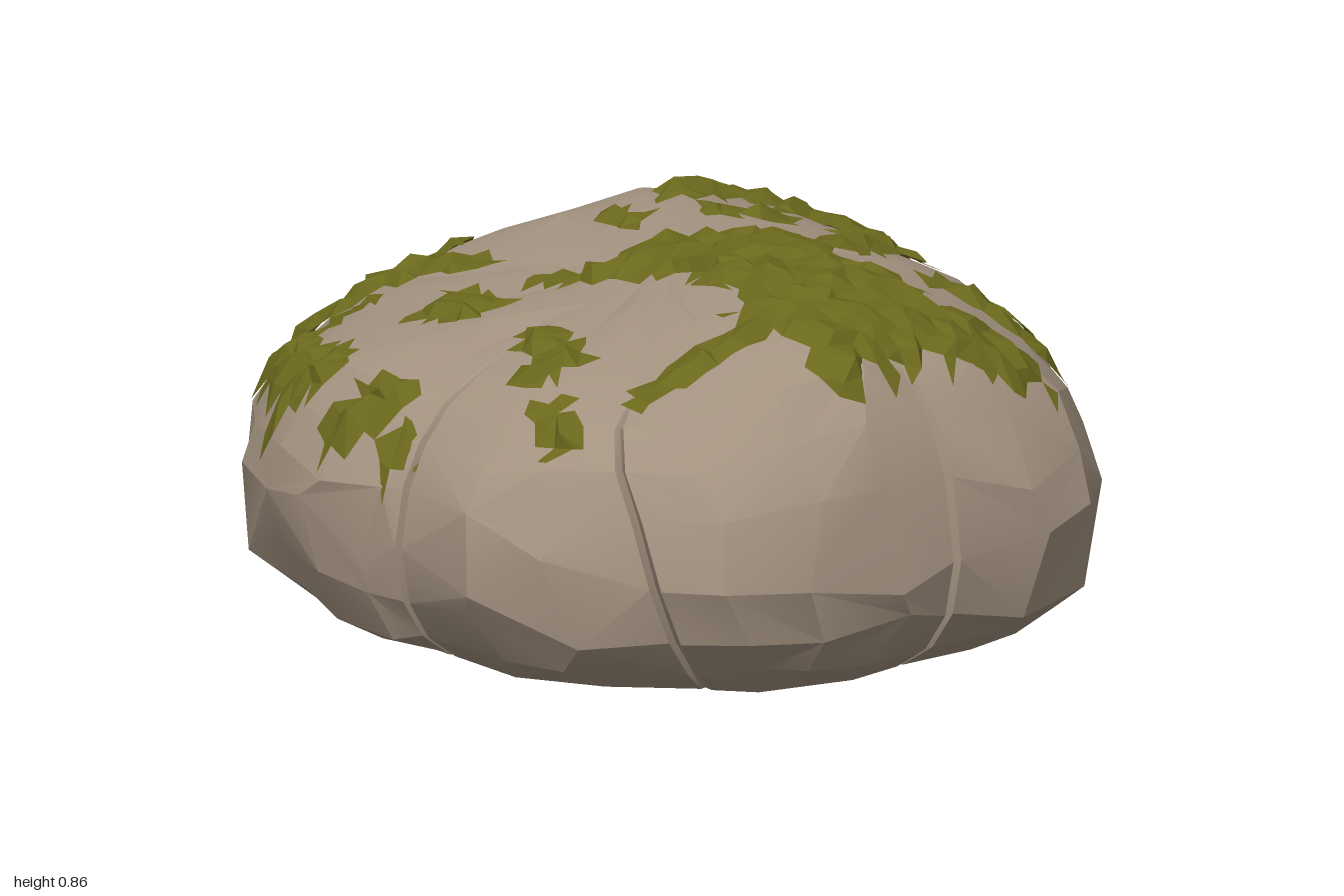
import * as THREE from 'three';
import { toCreasedNormals } from 'three/addons/utils/BufferGeometryUtils.js';

function seeded(seed) {
  return () => {
    seed = (seed * 1664525 + 1013904223) >>> 0;
    return seed / 4294967296;
  };
}

// Widest outline of the boulder, seen from above: [x, z]
const OUTLINE = [
  [.93, .03], [.89, .28], [.82, .6], [.69, .78], [.5, .85], [.37, .87], [.32, .91], [.15, .98], [0, 1],
  [-.2, .98], [-.35, .9], [-.39, .83], [-.5, .8], [-.65, .69], [-.73, .55], [-.77, .36], [-.87, .18],
  [-.925, 0], [-.925, -.18], [-.9, -.35], [-.8, -.57], [-.7, -.7], [-.64, -.71], [-.6, -.82], [-.4, -.95],
  [-.2, -1], [.05, -.98], [.23, -.9], [.4, -.88], [.55, -.81], [.72, -.69], [.77, -.5], [.86, -.2],
];
// Vertical clefts between the lobes: [x, z, slant]
const CLEFTS = [
  [.365, .87, 0], [-.34, .86, .14], [-.77, .36, 0], [-.65, -.71, 0], [.22, -.9, 0], [.76, -.5, -.1],
].map(([x, z, slant]) => ({ angle: Math.atan2(z, x), slant }));

// Distance from the centre to the outline in a given direction
function outlineRadius(angle) {
  const dx = Math.cos(angle), dz = Math.sin(angle);
  for (let i = 0; i < OUTLINE.length; i++) {
    const [ax, az] = OUTLINE[i], [bx, bz] = OUTLINE[(i + 1) % OUTLINE.length];
    const ca = dx * az - dz * ax, cb = dx * bz - dz * bx;
    if (ca <= 0 && cb > 0) {
      const t = ca / (ca - cb), x = ax + (bx - ax) * t, z = az + (bz - az) * t;
      if (x * dx + z * dz > 0) return Math.hypot(x, z);
    }
  }
  return .9;
}

function lerpTable(table, v) {
  for (let i = 1; i < table.length; i++) {
    const [a, p] = table[i - 1], [b, q] = table[i];
    if (v <= b) return p + (q - p) * Math.max(0, (v - a) / (b - a));
  }
  return table[table.length - 1][1];
}

// Height of the crown before it rounds off towards the rim
const crownX = [[-1, .73], [-.5, .71], [-.25, .72], [0, .8], [.15, .84], [.4, .815], [.7, .77], [1, .77]];
const crownZ = [[-1, .82], [-.85, .83], [-.7, 1], [-.6, 1.03], [-.45, 1], [-.3, .98], [.3, 1], [.6, 1.01],
  [.8, 1.07], [1, 1.12]];
const crown = (x, z) => lerpTable(crownX, x) * lerpTable(crownZ, z);

// Rings from the base to the crown: share of radius, height (null: from the crown), cleft depth and slant
const RINGS = [
  [.8, 0, .5, -1], [.9, .06, 1, -.67], [.97, .15, 1, -.33], [1, .28, 1, 0], [.97, null, 1, .33],
  [.91, null, 1, .67], [.82, null, .6, .8], [.69, null, .2, .6], [.5, null, 0, .3], [.27, null, 0, 0],
];

const gap = (a, b) => Math.atan2(Math.sin(a - b), Math.cos(a - b));

function rockGeometry() {
  const random = seeded(11), jitter = (n) => (random() - .5) * 2 * n;

  // Columns around the rock, with three narrow ones at every cleft
  const columns = [];
  for (let i = 0; i < 30; i++) {
    const angle = -Math.PI + (i + .5) / 30 * Math.PI * 2;
    if (CLEFTS.every((c) => Math.abs(gap(angle, c.angle)) > .1)) columns.push({ angle, depth: 0, loose: 1 });
  }
  for (const c of CLEFTS) {
    for (const k of [-1, 0, 1]) columns.push({ angle: c.angle + k * .014, depth: k ? 0 : .04, loose: 0 });
  }
  columns.sort((a, b) => a.angle - b.angle);

  const points = [];
  RINGS.forEach(([share, height, cleft, lean], ring) => {
    for (const { angle, depth, loose } of columns) {
      let a = angle + jitter(.045) * loose;
      for (const c of CLEFTS) a += c.slant * lean * Math.exp(-((gap(angle, c.angle) / .3) ** 2));
      const s = Math.min(1, share + jitter(ring === 3 ? 0 : .016) * loose);
      const r = outlineRadius(angle) * s - depth * cleft;
      const x = Math.cos(a) * r, z = Math.sin(a) * r;
      let y = height;
      if (y === null) y = .27 + (crown(x, z) - .27) * Math.sqrt(1 - s ** 3.5) + jitter(.012) * loose;
      else y += jitter(.02 * ring) * loose;
      points.push([x, y, z]);
    }
  });
  const n = columns.length, base = points.length, top = base + 1;
  points.push([0, 0, 0], [0, crown(0, 0), 0]);

  const index = [];
  for (let j = 0; j < n; j++) {
    const k = (j + 1) % n, last = (RINGS.length - 1) * n;
    index.push(j, k, base, last + j, top, last + k);
    for (let i = 0; i < RINGS.length - 1; i++) {
      const a = i * n + j, b = i * n + k, d = a + n, c = b + n;
      if (random() < .5) index.push(a, d, b, b, d, c);
      else index.push(a, d, c, a, c, b);
    }
  }
  const geometry = new THREE.BufferGeometry();
  geometry.setAttribute('position', new THREE.Float32BufferAttribute(points.flat(), 3));
  geometry.setIndex(index);
  return toCreasedNormals(geometry, .35);
}

// Moss strokes by area: [x1, z1, x2, z2, radius]
const MOSS = {
  crownMoss: [[-.22, -.12, 0, .05, .055], [0, 0, .2, .12, .11], [.13, .2, .17, .55, .13], [.1, .52, .2, .63, .12],
    [.2, .57, .6, .56, .075], [.35, .63, .58, .61, .055], [.33, .3, .4, .5, .065], [.08, .55, -.27, .63, .045],
    [.1, .7, .12, .8, .035], [.25, .2, .42, .38, .05]],
  leftMoss: [[.55, .2, .78, .15, .04], [.6, .25, .76, .35, .04], [.38, .07, .55, -.03, .06], [.5, -.05, .55, -.3, .075],
    [.4, -.36, .6, -.35, .07], [.18, -.4, .35, -.5, .07], [.33, -.55, .43, -.42, .075], [.58, -.45, .6, -.25, .05],
    [.72, -.4, .83, -.22, .05], [.25, -.74, .42, -.68, .035], [.38, -.68, .38, -.55, .022], [.2, -.22, .29, -.2, .06],
    [0, -.37, .02, -.33, .05]],
  rightMoss: [[-.47, -.13, -.45, -.1, .08], [-.7, -.62, -.6, -.54, .06], [-.6, -.53, -.4, -.5, .065],
    [-.43, -.64, -.38, -.6, .07], [-.35, -.45, -.3, -.42, .045], [-.28, -.65, -.25, -.75, .03],
    [-.75, -.45, -.8, -.2, .055], [-.8, -.18, -.78, -.12, .07], [-.7, -.4, -.58, -.4, .035],
    [-.82, .1, -.7, .17, .05], [-.75, .27, -.72, .3, .035], [-.38, .22, -.38, .38, .05], [-.46, .4, -.42, .4, .04],
    [-.48, .53, -.48, .64, .04]],
  backMoss: [[-.2, -.95, 0, -.88, .05], [-.14, -.81, -.11, -.79, .03]],
};

function insideStrokes(strokes, x, z, slack) {
  return strokes.some(([ax, az, bx, bz, r]) => {
    const dx = bx - ax, dz = bz - az;
    const t = THREE.MathUtils.clamp(((x - ax) * dx + (z - az) * dz) / (dx * dx + dz * dz), 0, 1);
    return Math.hypot(x - ax - dx * t, z - az - dz * t) < r * slack;
  });
}

// Crumpled sheet laid over the rock, with its rim close to the stone
function mossGeometry(strokes, rock, seed) {
  const random = seeded(seed), step = .042, count = 50;
  const ray = new THREE.Raycaster(), down = new THREE.Vector3(0, -1, 0);
  const grid = [];
  for (let i = 0; i < count * count; i++) {
    const row = Math.floor(i / count);
    const x = (i % count - count / 2 + (row % 2) / 2 + (random() - .5) * .8) * step;
    const z = (row - count / 2 + (random() - .5) * .8) * step;
    ray.set(new THREE.Vector3(x, 2, z), down);
    const hit = ray.intersectObject(rock)[0];
    grid.push({ hit, x, z, rim: false, lift: .01 + random() * .028 });
  }
  const kept = [];
  const add = (...corners) => {
    const p = corners.map((c) => grid[c]);
    const x = (p[0].x + p[1].x + p[2].x) / 3, z = (p[0].z + p[1].z + p[2].z) / 3;
    const keep = p.every((v) => v.hit && v.hit.point.y > .3) && insideStrokes(strokes, x, z, .95 + random() * .35);
    if (keep) kept.push(corners);
    else p.forEach((v) => { v.rim = true; });
  };
  for (let r = 0; r < count - 1; r++) {
    for (let c = 0; c < count - 1; c++) {
      const a = r * count + c, b = a + 1, d = a + count, e = d + 1;
      if (r % 2) { add(a, d, e); add(a, e, b); }
      else { add(a, d, b); add(b, d, e); }
    }
  }
  const positions = kept.flat().flatMap((c) => {
    const { hit, rim, lift } = grid[c];
    return hit.point.clone().addScaledVector(hit.face.normal, rim ? lift * .3 : lift).toArray();
  });
  const geometry = new THREE.BufferGeometry();
  geometry.setAttribute('position', new THREE.Float32BufferAttribute(positions, 3));
  geometry.computeVertexNormals();
  return geometry;
}

export function createModel() {
  const stone = new THREE.MeshStandardMaterial({ color: 0xa39280 });
  stone.name = 'stone';
  const green = new THREE.MeshStandardMaterial({ color: 0x6a681c, side: THREE.DoubleSide });
  green.name = 'moss green';

  const model = new THREE.Group();
  model.name = 'mossyBoulder';
  const rock = new THREE.Mesh(rockGeometry(), stone);
  rock.name = 'boulder';
  model.add(rock);

  Object.entries(MOSS).forEach(([name, strokes], i) => {
    const moss = new THREE.Mesh(mossGeometry(strokes, rock, 5 + i), green);
    moss.name = name;
    model.add(moss);
  });
  return model;
}
